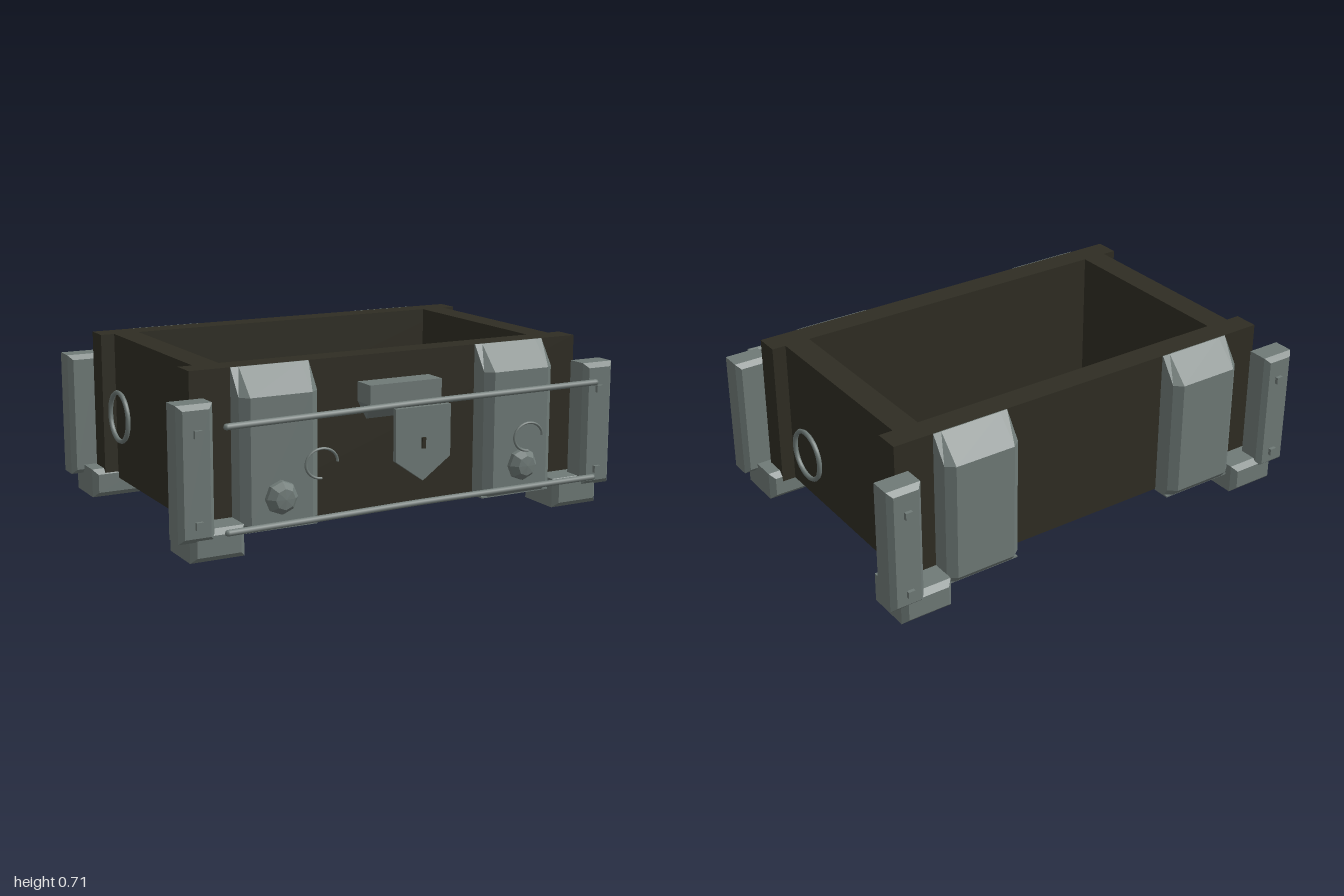
import * as THREE from 'three';

const wood = new THREE.MeshStandardMaterial({ color: 0x2f2d23 });
wood.name = 'darkWood';
const iron = new THREE.MeshStandardMaterial({ color: 0x6f7a77 });
iron.name = 'greyIron';

function add(group, name, geometry, material, x = 0, y = 0, z = 0) {
  const mesh = new THREE.Mesh(geometry, material);
  mesh.name = name;
  mesh.position.set(x, y, z);
  group.add(mesh);
  return mesh;
}

// Plain box given by its limits
function block(group, name, material, x0, x1, y0, y1, z0, z1) {
  return add(group, name, new THREE.BoxGeometry(x1 - x0, y1 - y0, z1 - z0), material,
    (x0 + x1) / 2, (y0 + y1) / 2, (z0 + z1) / 2);
}

// Box with chamfered edges
function chamferBox(w, h, d, b) {
  const x = w / 2 - b, y = h / 2 - b;
  const s = new THREE.Shape([[-x, -y], [x, -y], [x, y], [-x, y]].map(p => new THREE.Vector2(...p)));
  const g = new THREE.ExtrudeGeometry(s, {
    depth: d - 2 * b, bevelEnabled: true, bevelThickness: b, bevelSize: b, bevelSegments: 1,
  });
  return g.translate(0, 0, -d / 2 + b);
}

// Closed faceted solid through rings of points, counter-clockwise seen from the end of the loft
function loft(rings) {
  const pos = [], n = rings[0].length;
  const tri = (a, b, c) => pos.push(...a, ...b, ...c);
  for (let r = 0; r < rings.length - 1; r++) {
    for (let i = 0; i < n; i++) {
      const j = (i + 1) % n, lo = rings[r], hi = rings[r + 1];
      tri(lo[i], lo[j], hi[j]);
      tri(lo[i], hi[j], hi[i]);
    }
  }
  const first = rings[0], last = rings[rings.length - 1];
  for (let i = 1; i < n - 1; i++) {
    tri(first[0], first[i + 1], first[i]);
    tri(last[0], last[i], last[i + 1]);
  }
  const g = new THREE.BufferGeometry();
  g.setAttribute('position', new THREE.Float32BufferAttribute(pos, 3));
  g.computeVertexNormals();
  return g;
}

// Upright strap with chamfered sides and a sloping top, growing towards +z
function strapGeometry() {
  const w = 0.167, c = 0.035;
  const ring = ([y, d]) => [[-w, 0], [-w, d * 0.72], [-w + c, d], [w - c, d], [w, d * 0.72], [w, 0]]
    .map(([x, z]) => [x, y, z]);
  return loft([[0.08, 0.08], [0.11, 0.105], [0.61, 0.105], [0.715, 0.004]].map(ring));
}

export function createModel() {
  const model = new THREE.Group();
  model.name = 'openChest';

  // Open box
  const box = new THREE.Group();
  box.name = 'box';
  model.add(box);
  block(box, 'frontWall', wood, -0.89, 0.89, 0.08, 0.715, 0.37, 0.475);
  block(box, 'backWall', wood, -0.89, 0.89, 0.08, 0.715, -0.585, -0.48);
  for (const s of [-1, 1]) {
    block(box, 'sideWall', wood, s * 0.775 - 0.055, s * 0.775 + 0.055, 0.08, 0.715, -0.48, 0.37);
  }
  block(box, 'floor', wood, -0.72, 0.72, 0.08, 0.13, -0.48, 0.37);

  const strap = strapGeometry();
  const postGeo = chamferBox(0.148, 0.53, 0.125, 0.02);
  const footGeo = chamferBox(0.225, 0.125, 0.235, 0.022);
  const rivetGeo = new THREE.BoxGeometry(0.03, 0.03, 0.03);
  const ringGeo = new THREE.TorusGeometry(0.1, 0.01, 6, 28);

  for (const s of [-1, 1]) {
    // Straps over front, back and underside
    add(model, 'frontStrap', strap, iron, s * 0.553, 0, 0.475);
    add(model, 'backStrap', strap, iron, s * 0.553, 0, -0.585).rotation.y = Math.PI;
    block(model, 'bottomStrap', iron, s * 0.553 - 0.167, s * 0.553 + 0.167, 0.074, 0.081, -0.66, 0.55);

    // Faceted studs on the front straps
    const profile = [[0, 0], [0.07, 0], [0.066, 0.02], [0.042, 0.048], [0, 0.052]];
    const studGeo = new THREE.LatheGeometry(profile.map(p => new THREE.Vector2(...p)), 8)
      .toNonIndexed();
    studGeo.computeVertexNormals();
    studGeo.rotateX(Math.PI / 2);
    add(model, 'stud', studGeo, iron, s * 0.56, 0.21, 0.576);

    // Side handle ring
    add(model, 'handleRing', ringGeo, iron, s * 0.975, 0.447, -0.052).rotation.y = Math.PI / 2;

    // Corner posts, feet and rivets
    for (const f of [-1, 1]) {
      const corner = new THREE.Group();
      corner.name = f > 0 ? 'frontCorner' : 'backCorner';
      model.add(corner);
      const postZ = f > 0 ? 0.557 : -0.658;
      add(corner, 'post', postGeo, iron, s * 0.924, 0.35, postZ);
      add(corner, 'foot', footGeo, iron, s * 0.832, 0.0625, f > 0 ? 0.488 : -0.593);
      for (const y of [0.155, 0.505]) {
        add(corner, 'rivet', rivetGeo, iron, s * 0.92, y, postZ + f * 0.062);
      }
    }
  }

  // Slightly bowed rods across the front
  for (const [y, tilt] of [[0.547, 0.006], [0.142, 0.005]]) {
    const path = new THREE.CatmullRomCurve3([
      new THREE.Vector3(-0.84, y - tilt, 0.703), new THREE.Vector3(-0.4, y - tilt / 2, 0.695),
      new THREE.Vector3(0, y, 0.686), new THREE.Vector3(0.4, y + tilt / 2, 0.695),
      new THREE.Vector3(0.84, y + tilt, 0.703),
    ]);
    add(model, 'rod', new THREE.TubeGeometry(path, 16, 0.013, 6), iron);
    for (const t of [0, 1]) {
      const p = path.getPoint(t);
      add(model, 'rodEnd', new THREE.SphereGeometry(0.013, 6, 4), iron, p.x, p.y, p.z);
    }
  }

  // Lock housing, tapering down to the wall
  const rect = (w, y, z) => [[-w, y, 0.47], [-w, y, z], [w, y, z], [w, y, 0.47]];
  add(model, 'lockHousing', loft([rect(0.125, 0.455, 0.478), rect(0.165, 0.53, 0.577),
    rect(0.165, 0.61, 0.577)]), iron);

  // Shield plate with keyhole
  const shield = new THREE.Shape([[-0.125, 0.535], [-0.125, 0.325], [0, 0.237], [0.125, 0.325], [0.125, 0.535]]
    .map(p => new THREE.Vector2(...p)));
  add(model, 'lockShield', new THREE.ExtrudeGeometry(shield, { depth: 0.02, bevelEnabled: false }),
    iron, 0, 0, 0.69);
  block(model, 'keyhole', wood, -0.008, 0.008, 0.368, 0.412, 0.709, 0.718);

  // Open hooks in front of the straps
  for (const x of [-0.46, 0.487]) {
    const hook = add(model, 'hook', new THREE.TorusGeometry(0.068, 0.006, 6, 20, 4.7), iron, x, 0.365, 0.729);
    hook.scale.y = 0.85;
  }

  return model;
}
